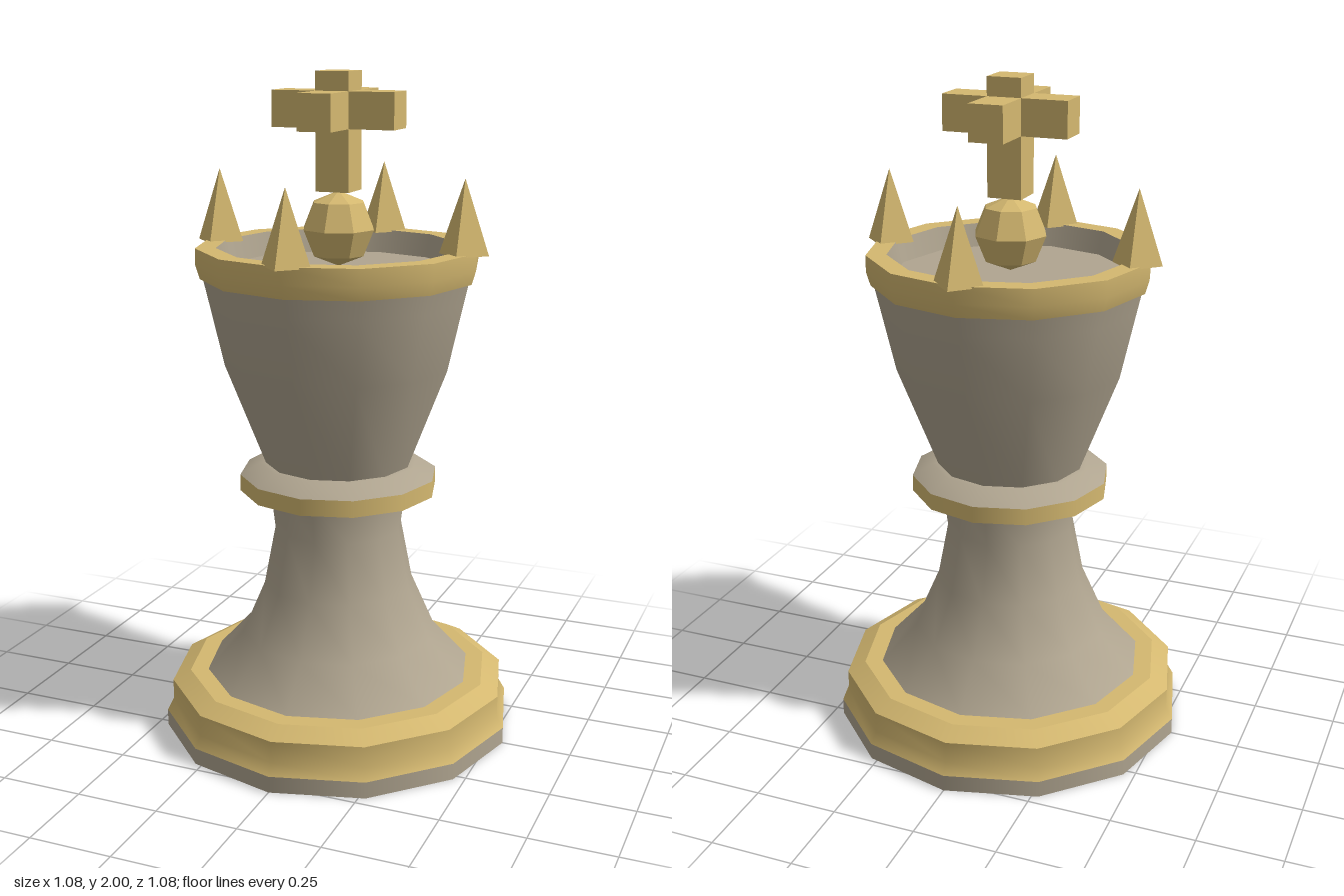
import * as THREE from 'three';
import { mergeGeometries } from 'three/addons/utils/BufferGeometryUtils.js';

const SIDES = 12;

// Lathe made of separate smooth sections, so the edge between two sections stays sharp.
function turned(name, material, ...sections) {
  const parts = sections.map((points) =>
    new THREE.LatheGeometry(points.map(([r, y]) => new THREE.Vector2(r, y)), SIDES));
  const mesh = new THREE.Mesh(mergeGeometries(parts), material);
  mesh.name = name;
  return mesh;
}

function solid(name, geometry, material, x, y, z) {
  const flat = geometry.index ? geometry.toNonIndexed() : geometry;
  flat.computeVertexNormals();
  const mesh = new THREE.Mesh(flat, material);
  mesh.name = name;
  mesh.position.set(x, y, z);
  return mesh;
}

export function createModel() {
  const stone = new THREE.MeshStandardMaterial({ name: 'stone', color: 0xb0a590 });
  const gold = new THREE.MeshStandardMaterial({ name: 'gold', color: 0xd4b870 });
  const model = new THREE.Group();
  model.name = 'chessKing';

  // Base
  model.add(
    turned('foot', stone, [[0, 0], [0.54, 0]], [[0.54, 0], [0.54, 0.05]]),
    turned('baseBand', gold,
      [[0.54, 0.05], [0.52, 0.085], [0.52, 0.15]],
      [[0.52, 0.15], [0.465, 0.18]],
      [[0.465, 0.18], [0.4, 0.18]]),
  );

  // Stem and collar
  model.add(
    turned('stem', stone, [[0.41, 0.18], [0.3, 0.3], [0.23, 0.46], [0.195, 0.64], [0.21, 0.77]]),
    turned('collar', gold, [[0.2, 0.76], [0.3, 0.76]], [[0.3, 0.76], [0.3, 0.81]]),
    turned('collarTop', stone, [[0.3, 0.81], [0.24, 0.845], [0.2, 0.845]]),
  );

  // Hollow cup and its rim
  model.add(
    turned('cup', stone, [[0.22, 0.84], [0.34, 1.15], [0.385, 1.35], [0.4, 1.415]]),
    turned('cupInside', stone, [[0.36, 1.5], [0.345, 1.43]], [[0.345, 1.43], [0, 1.43]]),
    turned('rim', gold,
      [[0.39, 1.41], [0.408, 1.41]],
      [[0.408, 1.41], [0.42, 1.45], [0.42, 1.5]],
      [[0.42, 1.5], [0.36, 1.5]]),
  );

  // Four crown spikes
  for (let i = 0; i < 4; i++) {
    const a = (i * Math.PI) / 2;
    model.add(solid('crownSpike', new THREE.ConeGeometry(0.074, 0.215, 4), gold,
      0.383 * Math.sin(a), 1.6025, 0.383 * Math.cos(a)));
  }

  // Faceted ball and three-way cross
  const finial = new THREE.Group();
  finial.name = 'finial';
  finial.add(
    solid('ball', new THREE.SphereGeometry(0.11, 8, 4), gold, 0, 1.55, 0),
    solid('crossPost', new THREE.BoxGeometry(0.102, 0.34, 0.102), gold, 0, 1.83, 0),
    solid('crossArmSide', new THREE.BoxGeometry(0.375, 0.105, 0.102), gold, 0, 1.8925, 0),
    solid('crossArmFront', new THREE.BoxGeometry(0.102, 0.105, 0.375), gold, 0, 1.8925, 0),
  );
  model.add(finial);
  return model;
}
